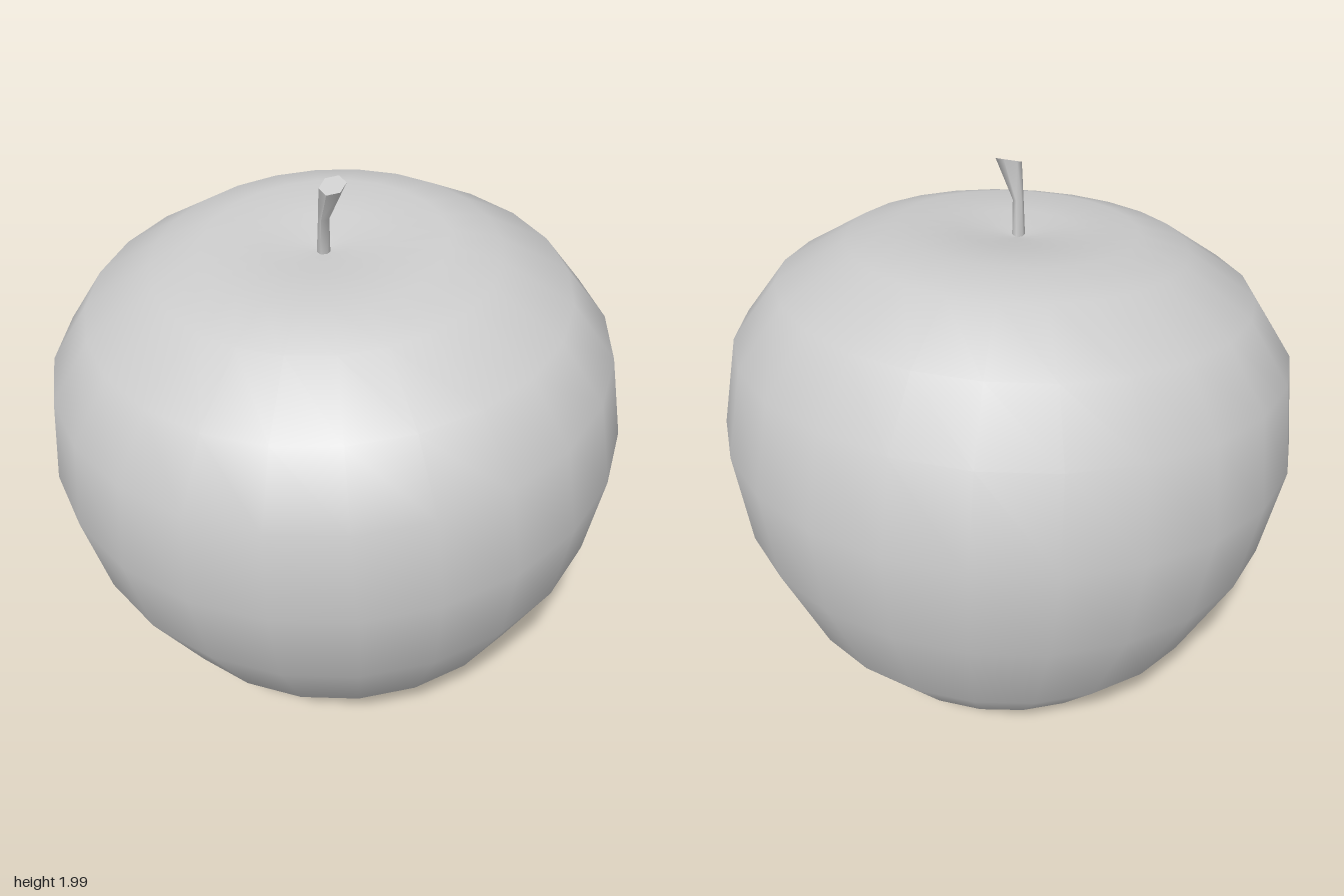
import * as THREE from 'three';

const material = new THREE.MeshStandardMaterial({ color: 0xcccccc });

// Round body: a lathe with a shallow dip at both poles, leaning forward
function makeBody() {
  const pivotY = 0.92;
  const profile = [
    [0, 0.07], [0.22, 0.02], [0.45, 0.1], [0.58, 0.19], [0.77, 0.4], [0.94, 0.75], [0.995, 1.08],
    [0.945, 1.39], [0.8, 1.59], [0.57, 1.73], [0.4, 1.775], [0.2, 1.765], [0, 1.735],
  ].map(([r, y]) => new THREE.Vector2(r, y - pivotY));
  const body = new THREE.Mesh(new THREE.LatheGeometry(profile, 24), material);
  body.name = 'fruitBody';
  body.position.y = pivotY;
  body.rotation.x = 0.11;
  return body;
}

// Stem: a thin cylinder bent at the middle, flaring to a slanted cut end
function makeStem() {
  const rings = [
    { x: 0.004, y: 1.72, z: 0.108, r: 0.022, slant: 0 },
    { x: 0.01, y: 1.85, z: 0.118, r: 0.018, slant: 0 },
    { x: 0.05, y: 1.972, z: 0.135, r: 0.043, slant: 0.4 },
  ];
  const geometry = new THREE.CylinderGeometry(1, 1, 2, 6, 2);
  const p = geometry.attributes.position;
  for (let i = 0; i < p.count; i++) {
    const c = rings[Math.round(p.getY(i)) + 1];
    const dx = p.getX(i) * c.r;
    const dz = p.getZ(i) * c.r;
    p.setXYZ(i, c.x + dx, c.y - c.slant * dz, c.z + dz);
  }
  geometry.computeVertexNormals();
  const stem = new THREE.Mesh(geometry, material);
  stem.name = 'stem';
  return stem;
}

export function createModel() {
  const model = new THREE.Group();
  model.name = 'apple';
  model.add(makeBody(), makeStem());
  return model;
}
